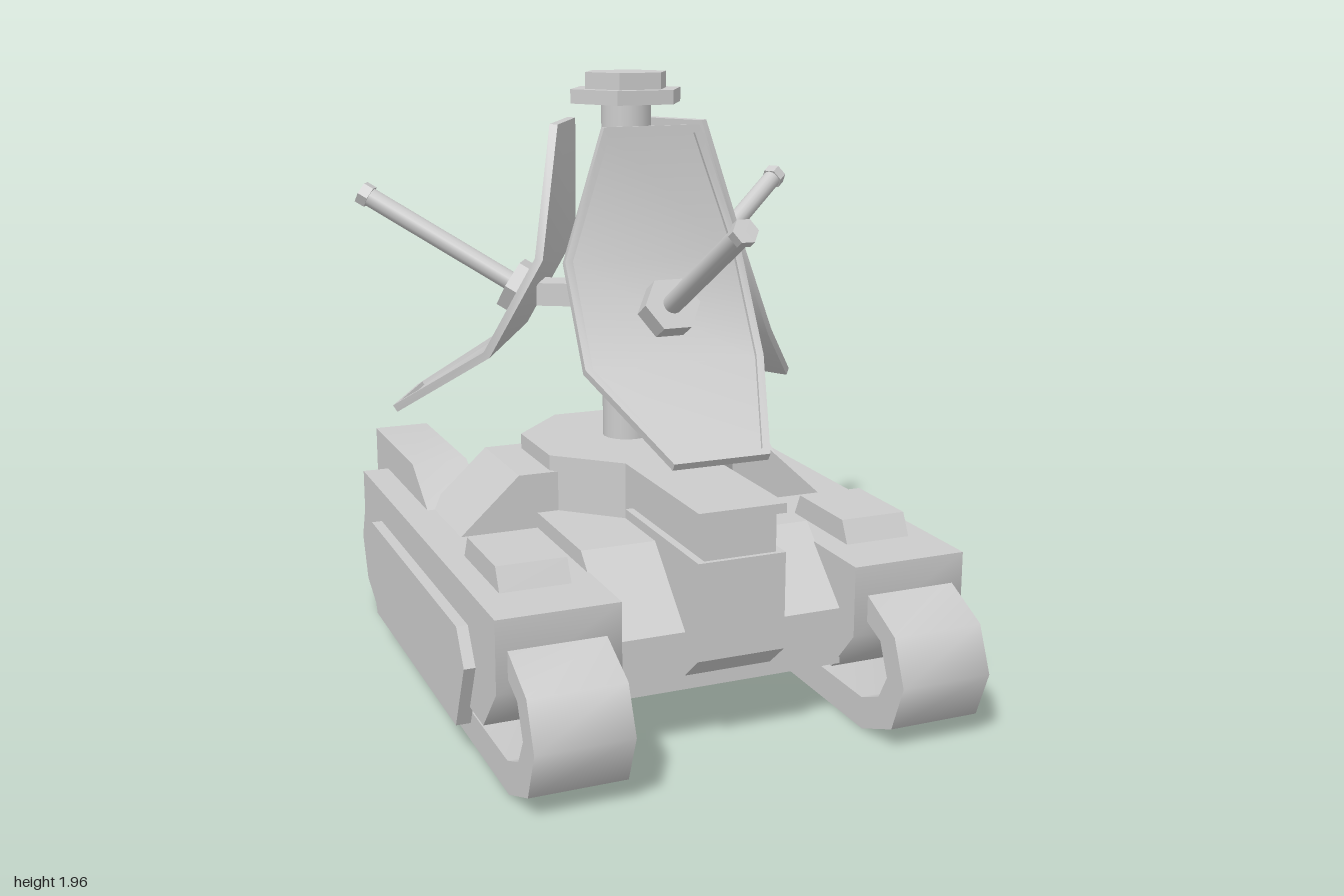
import * as THREE from 'three';
import { toCreasedNormals } from 'three/addons/utils/BufferGeometryUtils.js';

const material = new THREE.MeshStandardMaterial({ color: 0xcccccc });
const MAST_Z = -0.12;

function add(parent, name, geometry) {
  const mesh = new THREE.Mesh(geometry, material);
  mesh.name = name;
  parent.add(mesh);
  return mesh;
}

const toPoints = list => list.map(([a, b]) => new THREE.Vector2(a, b));

function extrude(points, depth, hole) {
  const shape = new THREE.Shape(toPoints(points));
  if (hole) shape.holes.push(new THREE.Path(toPoints(hole)));
  return new THREE.ExtrudeGeometry(shape, { depth, bevelEnabled: false });
}

// Side profile of [z, y] points, spanning x0 to x1
const sideProfile = (points, x0, x1, hole) =>
  extrude(points, x1 - x0, hole).rotateY(-Math.PI / 2).translate(x1, 0, 0);

function sidePair(parent, name, points, x0, x1, hole) {
  add(parent, name + 'Left', toCreasedNormals(sideProfile(points, x0, x1, hole), 0.9));
  add(parent, name + 'Right', toCreasedNormals(sideProfile(points, -x1, -x0, hole), 0.9));
}

const box = (x0, x1, y0, y1, z0, z1) => new THREE.BoxGeometry(x1 - x0, y1 - y0, z1 - z0)
  .translate((x0 + x1) / 2, (y0 + y1) / 2, (z0 + z1) / 2);

// Hexagonal prism with corners on the x axis
const hexPrism = (radius, height) =>
  toCreasedNormals(new THREE.CylinderGeometry(radius, radius, height, 6, 1, false, Math.PI / 6), 0.5);

// Curved dish panel with a raised rim, facing +z
function dishGeometry() {
  // [half width, y, z, normal y, normal z] from top to bottom
  const rows = [
    [0.16, 1.8, 0.1, 0.06, 1],
    [0.3, 1.395, 0.125, 0.28, 0.96],
    [0.3, 1.09, 0.295, 0.69, 0.72],
    [0.155, 0.87, 0.64, 0.85, 0.53],
  ];
  const mix = (a, b, t) => a.map((v, i) => v + (b[i] - v) * t);
  const inset = [mix(rows[0], rows[1], 0.06), rows[1], rows[2], mix(rows[3], rows[2], 0.06)]
    .map(([w, ...rest]) => [w - 0.025, ...rest]);
  const loop = (list, drop) => {
    const point = ([w, y, z, ny, nz], s) => [s * w, y - ny * drop, z - nz * drop];
    return [...[...list].reverse().map(r => point(r, 1)), ...list.map(r => point(r, -1))];
  };
  const back = loop(rows, 0.026), front = loop(rows, 0);
  const lip = loop(inset, 0), floor = loop(inset, 0.013);
  const out = [];
  const quad = (a, b, c, d) => out.push(...a, ...b, ...c, ...a, ...c, ...d);
  for (const [a, b] of [[back, front], [front, lip], [lip, floor]]) {
    for (let i = 0; i < 8; i++) {
      const j = (i + 1) % 8;
      quad(a[i], a[j], b[j], b[i]);
    }
  }
  for (let k = 0; k < 3; k++) {
    quad(floor[k], floor[k + 1], floor[6 - k], floor[7 - k]);
    quad(back[7 - k], back[6 - k], back[k + 1], back[k]);
  }
  const geometry = new THREE.BufferGeometry();
  geometry.setAttribute('position', new THREE.Float32BufferAttribute(out, 3));
  return toCreasedNormals(geometry, 0.65);
}

function createDish() {
  const unit = new THREE.Group();
  unit.name = 'dishUnit';
  add(unit, 'dish', dishGeometry().translate(0, 0, -MAST_Z));
  add(unit, 'dishArm', box(-0.06, 0.06, 1.2, 1.275, 0.03, 0.29));
  // Feed rod tilted 30 degrees above the horizontal
  const feed = new THREE.Group();
  feed.name = 'feed';
  feed.position.set(0, 1.25, 0.235 - MAST_Z);
  feed.rotation.x = Math.PI / 3;
  add(feed, 'feedHub', hexPrism(0.092, 0.075));
  add(feed, 'feedRod', new THREE.CylinderGeometry(0.032, 0.032, 0.59, 16).translate(0, 0.295, 0));
  add(feed, 'feedTip', hexPrism(0.04, 0.035).translate(0, 0.6, 0));
  unit.add(feed);
  return unit;
}

export function createModel() {
  const model = new THREE.Group();
  model.name = 'trackedDishVehicle';

  // Central hull between the tracks
  add(model, 'hull', sideProfile([[0.69, 0.19], [0.69, 0.37], [0.46, 0.58], [-0.46, 0.58],
    [-0.73, 0.37], [-0.73, 0.19]], -0.38, 0.38));

  // Hollow track loops
  const outer = [[1, 0.22], [0.94, 0.36], [0.77, 0.44], [-0.79, 0.44], [-0.94, 0.36],
    [-1, 0.22], [-0.94, 0.07], [-0.8, 0], [0.77, 0], [0.94, 0.07]];
  const inner = [[0.905, 0.22], [0.86, 0.32], [0.76, 0.36], [-0.77, 0.36], [-0.86, 0.32],
    [-0.905, 0.22], [-0.86, 0.14], [-0.77, 0.1], [0.76, 0.1], [0.86, 0.14]];
  sidePair(model, 'track', outer, 0.42, 0.715, inner);

  // Track housings with skirts, front hatches and rear stowage boxes
  sidePair(model, 'fender', [[0.78, 0.53], [0.78, 0.31], [0.65, 0.165], [-0.65, 0.165],
    [-0.79, 0.31], [-0.79, 0.53]], 0.375, 0.75);
  sidePair(model, 'skirt', [[0.585, 0.315], [0.515, 0.42], [-0.53, 0.42], [-0.6, 0.315],
    [-0.495, 0.1], [0.485, 0.1]], 0.74, 0.785);
  sidePair(model, 'hatch', [[0.585, 0.53], [0.55, 0.6], [0.27, 0.6], [0.235, 0.53]], 0.455, 0.675);
  sidePair(model, 'rearBox', [[-0.25, 0.53], [-0.43, 0.64], [-0.955, 0.64], [-0.955, 0.4],
    [-0.78, 0.4], [-0.78, 0.5]], 0.47, 0.66);

  // Octagonal turret base
  const quarter = [[0.14, 0.22], [0.33, 0.04], [0.33, -0.25], [0.14, -0.45]];
  const plan = [...quarter, ...[...quarter].reverse().map(([x, z]) => [-x, z])];
  add(model, 'turret', extrude(plan, 0.23).rotateX(Math.PI / 2).translate(0, 0.76, 0));

  // Sloped boxes either side of the turret
  for (const s of [1, -1]) {
    const points = [[0.28, 0.5], [0.28, 0.71], [0.44, 0.71], [0.635, 0.53], [0.635, 0.5]];
    add(model, s > 0 ? 'sideBoxLeft' : 'sideBoxRight',
      extrude(points.map(([x, y]) => [s * x, y]), 0.365).translate(0, 0, -0.305));
  }

  // Nose block with a recessed band under its lid
  add(model, 'noseBlock', sideProfile([[0.2, 0.4], [0.2, 0.61], [0.78, 0.61], [0.78, 0.31],
    [0.68, 0.225], [0.5, 0.225]], -0.14, 0.14));
  add(model, 'noseBand', box(-0.115, 0.115, 0.6, 0.74, 0.2, 0.765));
  add(model, 'noseLid', box(-0.14, 0.14, 0.73, 0.76, 0.2, 0.78));

  // Rear block
  add(model, 'rearBlock', sideProfile([[-0.3, 0.4], [-0.3, 0.76], [-0.45, 0.76], [-0.69, 0.55],
    [-0.69, 0.36]], -0.14, 0.14));

  // Mast, cap and three dishes around it
  const mast = new THREE.Group();
  mast.name = 'mast';
  mast.position.z = MAST_Z;
  add(mast, 'mastPole', new THREE.CylinderGeometry(0.08, 0.08, 1.14, 20).translate(0, 1.31, 0));
  add(mast, 'capLower', hexPrism(0.19, 0.045).translate(0, 1.8825, 0));
  add(mast, 'capUpper', hexPrism(0.14, 0.055).translate(0, 1.93, 0));
  for (let i = 0; i < 3; i++) {
    const dish = createDish();
    dish.rotation.y = i * Math.PI * 2 / 3;
    mast.add(dish);
  }
  model.add(mast);
  return model;
}
